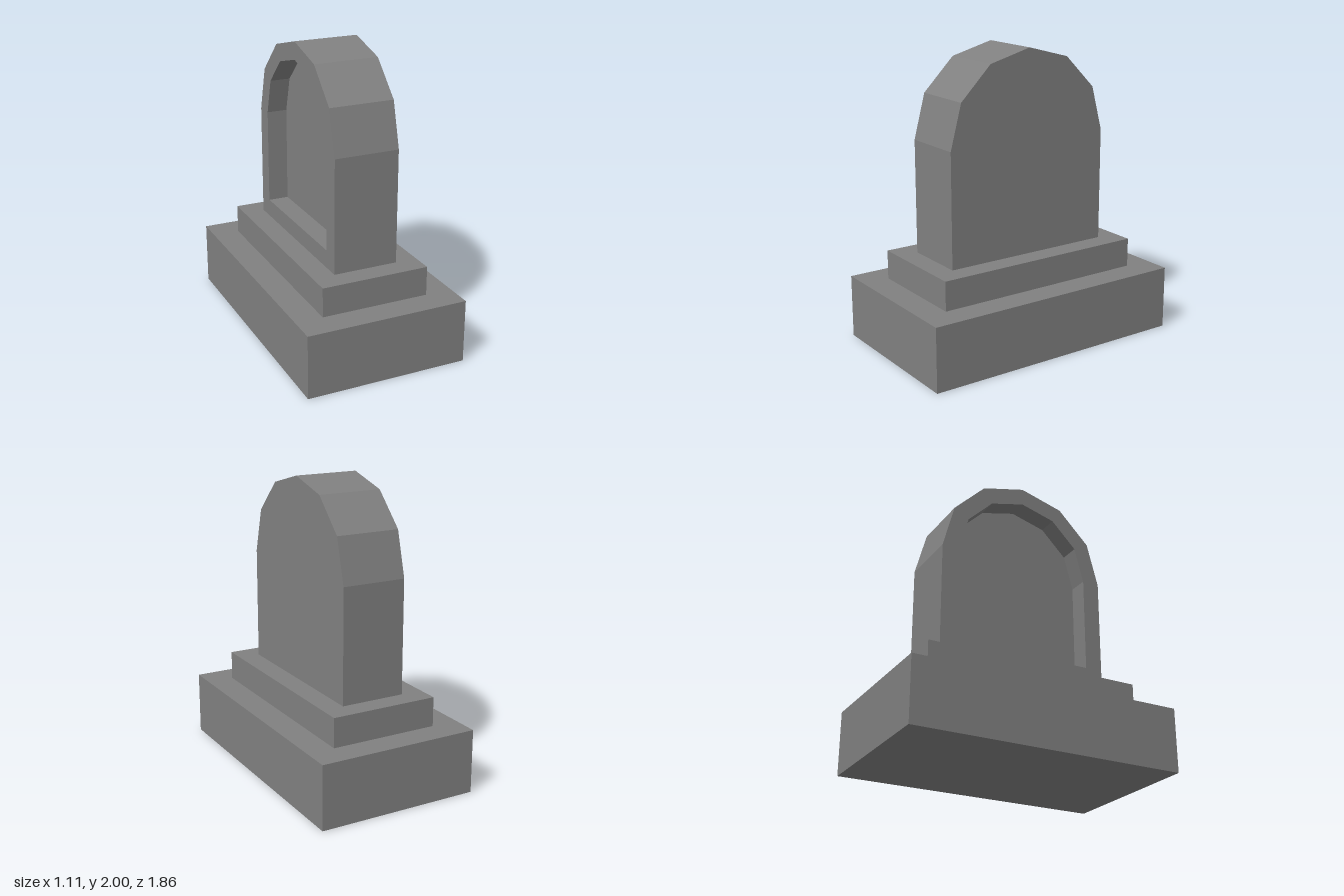
import * as THREE from 'three';

const SPRING = 1.4; // height where the arch begins

// Arched outline: straight sides topped by a six-segment half circle
function archPoints(radius, bottom) {
  const pts = [new THREE.Vector2(-radius, bottom), new THREE.Vector2(radius, bottom)];
  for (let i = 0; i <= 6; i++) {
    const a = (i / 6) * Math.PI;
    pts.push(new THREE.Vector2(Math.cos(a) * radius, SPRING + Math.sin(a) * radius));
  }
  return pts;
}

export function createModel() {
  const model = new THREE.Group();
  model.name = 'gravestone';
  const stone = new THREE.MeshStandardMaterial({ color: 0x808080, flatShading: true });
  stone.name = 'grey stone';

  const add = (name, geometry) => {
    const mesh = new THREE.Mesh(geometry, stone);
    mesh.name = name;
    model.add(mesh);
  };
  const block = (name, width, depth, y0, y1) =>
    add(name, new THREE.BoxGeometry(width, y1 - y0, depth).translate(0, (y0 + y1) / 2, 0));
  // Extrudes an arch outline along x from x0 to x1
  const slab = (name, shape, x0, x1) =>
    add(name, new THREE.ExtrudeGeometry(shape, { depth: x1 - x0, bevelEnabled: false })
      .rotateY(Math.PI / 2).translate(x0, 0, 0));

  // Stepped plinth
  block('base', 1.106, 1.86, 0, 0.432);
  block('step', 0.736, 1.49, 0.432, 0.63);

  // Headstone: solid slab plus a raised frame around the recessed panel
  slab('headstone', new THREE.Shape(archPoints(0.6, 0.63)), -0.08, 0.22);
  const frame = new THREE.Shape(archPoints(0.6, 0.63));
  frame.holes.push(new THREE.Path(archPoints(0.48, 0.75)));
  slab('panelFrame', frame, -0.22, -0.08);

  return model;
}
